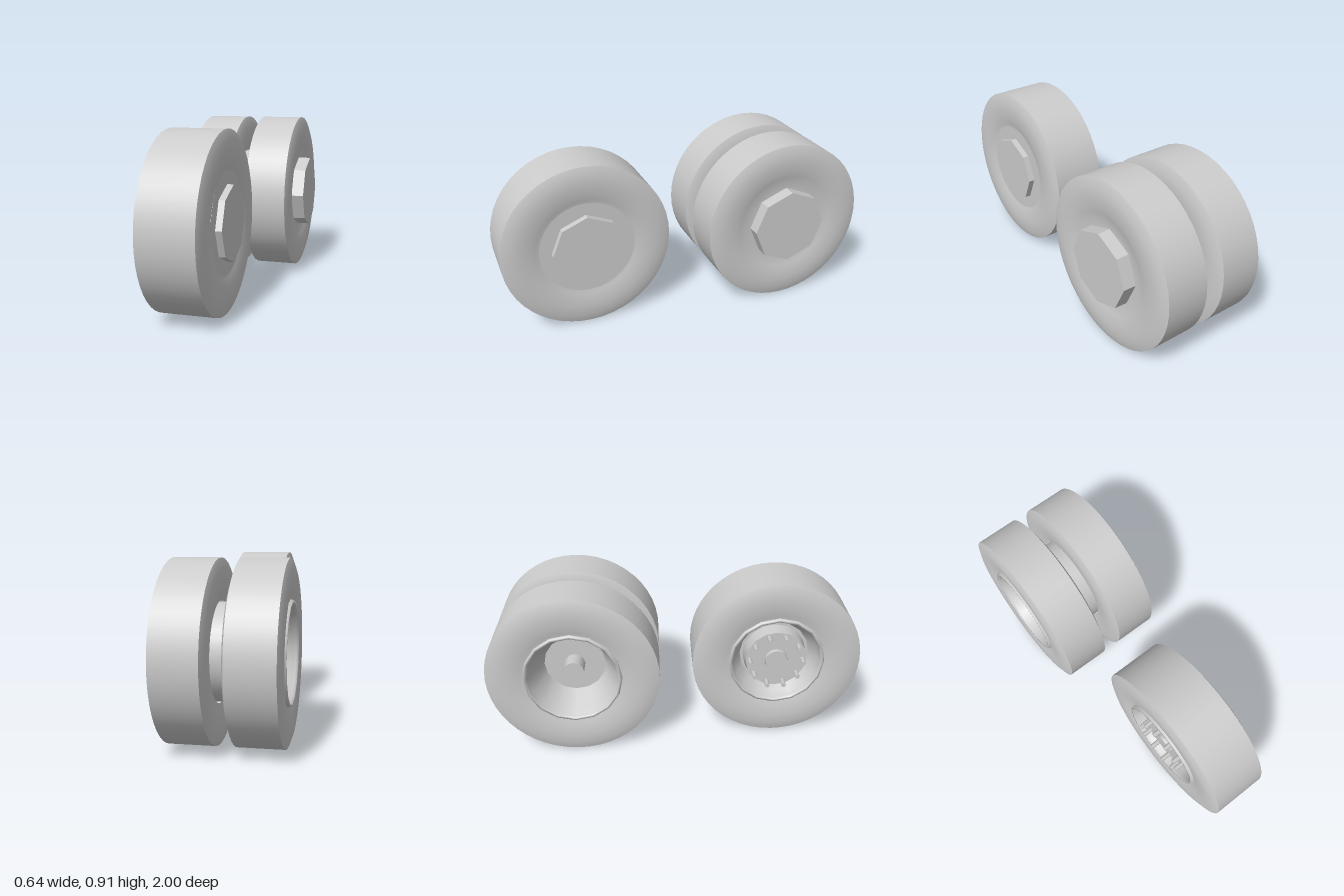
import * as THREE from 'three';

const RADIUS = 0.455;
const smooth = new THREE.MeshStandardMaterial({ color: 0xcccccc, side: THREE.DoubleSide });
const flat = new THREE.MeshStandardMaterial({ color: 0xcccccc, flatShading: true });

// Surface of revolution around the x axis; profile is [radius, x], running from -x to +x.
function lathe(name, profile, segments) {
  const points = profile.map(([r, x]) => new THREE.Vector2(r, x));
  const geometry = new THREE.LatheGeometry(points, segments);
  geometry.rotateZ(-Math.PI / 2);
  const mesh = new THREE.Mesh(geometry, smooth);
  mesh.name = name;
  return mesh;
}

// Cylinder along the x axis from x0 to x1.
function axle(name, r0, r1, x0, x1, segments, material = smooth) {
  const geometry = new THREE.CylinderGeometry(r1, r0, x1 - x0, segments);
  geometry.rotateZ(-Math.PI / 2);
  geometry.translate((x0 + x1) / 2, 0, 0);
  const mesh = new THREE.Mesh(geometry, material);
  mesh.name = name;
  return mesh;
}

// Tyre: sharp tread edges, smooth shoulders and sidewalls that dip towards the rim.
function tyre(x0, x1) {
  const group = new THREE.Group();
  group.name = 'tyre';
  const side = [[RADIUS, 0.015], [0.41, 0], [0.36, -0.003], [0.31, 0.002], [0.275, 0.012], [0.25, 0.016]];
  group.add(
    lathe('tread', [[RADIUS, x0 + 0.015], [RADIUS, x1 - 0.015]], 48),
    lathe('outerSidewall', side.map(([r, d]) => [r, x0 + Math.max(d, 0)]).reverse(), 48),
    lathe('innerSidewall', side.map(([r, d]) => [r, x1 - Math.max(d, 0)]), 48),
  );
  return group;
}

// Dished rim: rolled lip, tapering wall and flat floor.
function rim(x0, wallRadius, floorRadius, floorX) {
  const group = new THREE.Group();
  group.name = 'rim';
  group.add(
    lathe('rimLip', [[0.24, x0 + 0.015], [0.245, x0], [0.257, x0], [0.262, x0 + 0.02]], 16),
    lathe('rimWall', [[floorRadius, floorX], [wallRadius, x0 + 0.045], [0.24, x0 + 0.015]], 16),
    lathe('rimFloor', [[0, floorX], [floorRadius, floorX]], 16),
  );
  return group;
}

function frontWheel() {
  const wheel = new THREE.Group();
  wheel.name = 'frontWheel';
  wheel.add(
    tyre(-0.18, 0.135),
    rim(-0.18, 0.228, 0.19, -0.07),
    lathe('rimBack', [[0.257, 0.122], [0, 0.122]], 32),
    axle('hubDisc', 0.165, 0.175, -0.148, -0.06, 16),
    axle('hubCap', 0.06, 0.065, -0.165, -0.14, 12),
    axle('brakeDrum', 0.195, 0.19, 0.05, 0.154, 8, flat),
  );
  // Ring of wheel studs
  for (let i = 0; i < 10; i++) {
    const angle = (i / 10) * Math.PI * 2;
    const stud = axle('wheelStud', 0.013, 0.013, -0.2, -0.14, 8);
    stud.position.set(0, 0.144 * Math.sin(angle), 0.144 * Math.cos(angle));
    wheel.add(stud);
  }
  return wheel;
}

function rearWheels() {
  const pair = new THREE.Group();
  pair.name = 'rearTwinWheels';
  pair.add(
    tyre(-0.32, -0.06),
    tyre(0.015, 0.275),
    rim(-0.32, 0.225, 0.165, -0.15),
    axle('axleHub', 0.055, 0.055, -0.24, -0.14, 12),
    axle('spacer', 0.243, 0.243, -0.09, 0.045, 32),
    lathe('rimBack', [[0.252, 0.259], [0.2, 0.25], [0, 0.25]], 32),
    axle('brakeDrum', 0.21, 0.206, 0.15, 0.319, 8, flat),
  );
  return pair;
}

export function createModel() {
  const model = new THREE.Group();
  model.name = 'wheelSet';
  const front = frontWheel();
  front.position.set(0, RADIUS, 0.545);
  const rear = rearWheels();
  rear.position.set(0, RADIUS, -0.545);
  model.add(front, rear);
  return model;
}
